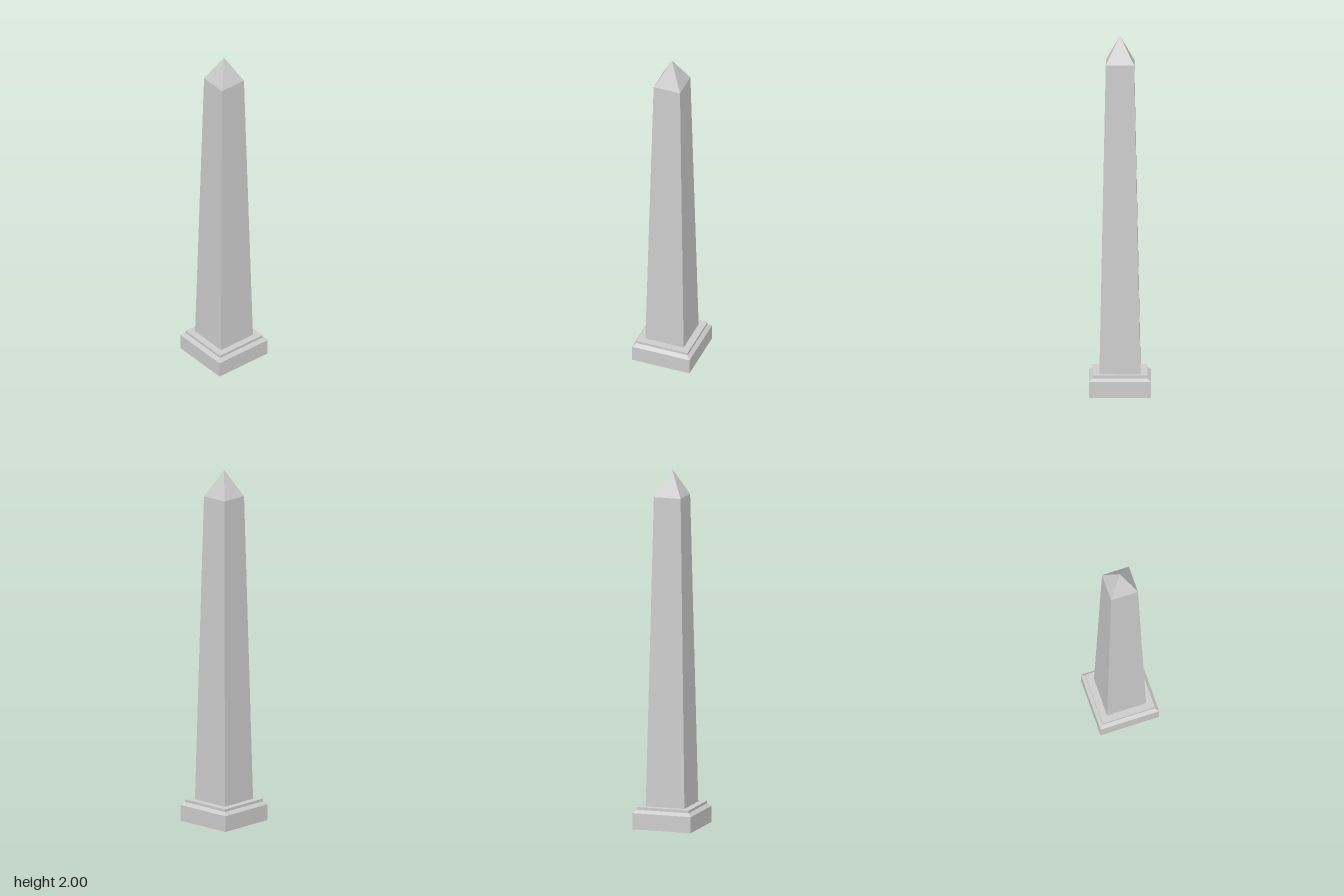
import * as THREE from 'three';

export function createModel() {
  const group = new THREE.Group();
  const stone = new THREE.MeshStandardMaterial({ color: 0xcccccc });
  stone.flatShading = true;

  // Square frustum given by half-widths at its bottom and top heights
  function addBlock(name, bottomHalf, topHalf, y0, y1) {
    const geometry = new THREE.CylinderGeometry(
      topHalf * Math.SQRT2, bottomHalf * Math.SQRT2, y1 - y0, 4, 1);
    geometry.rotateY(Math.PI / 4);
    geometry.translate(0, (y0 + y1) / 2, 0);
    const mesh = new THREE.Mesh(geometry, stone);
    mesh.name = name;
    group.add(mesh);
  }

  // Stepped base
  addBlock('plinth', 0.17, 0.17, 0, 0.09);
  addBlock('plinthBevel', 0.17, 0.151, 0.09, 0.107);
  addBlock('upperStep', 0.151, 0.151, 0.107, 0.122);

  // Tapered shaft and its pyramid tip
  addBlock('shaft', 0.113, 0.078, 0.122, 1.85);
  addBlock('pyramidTip', 0.078, 0, 1.85, 2);

  return group;
}
